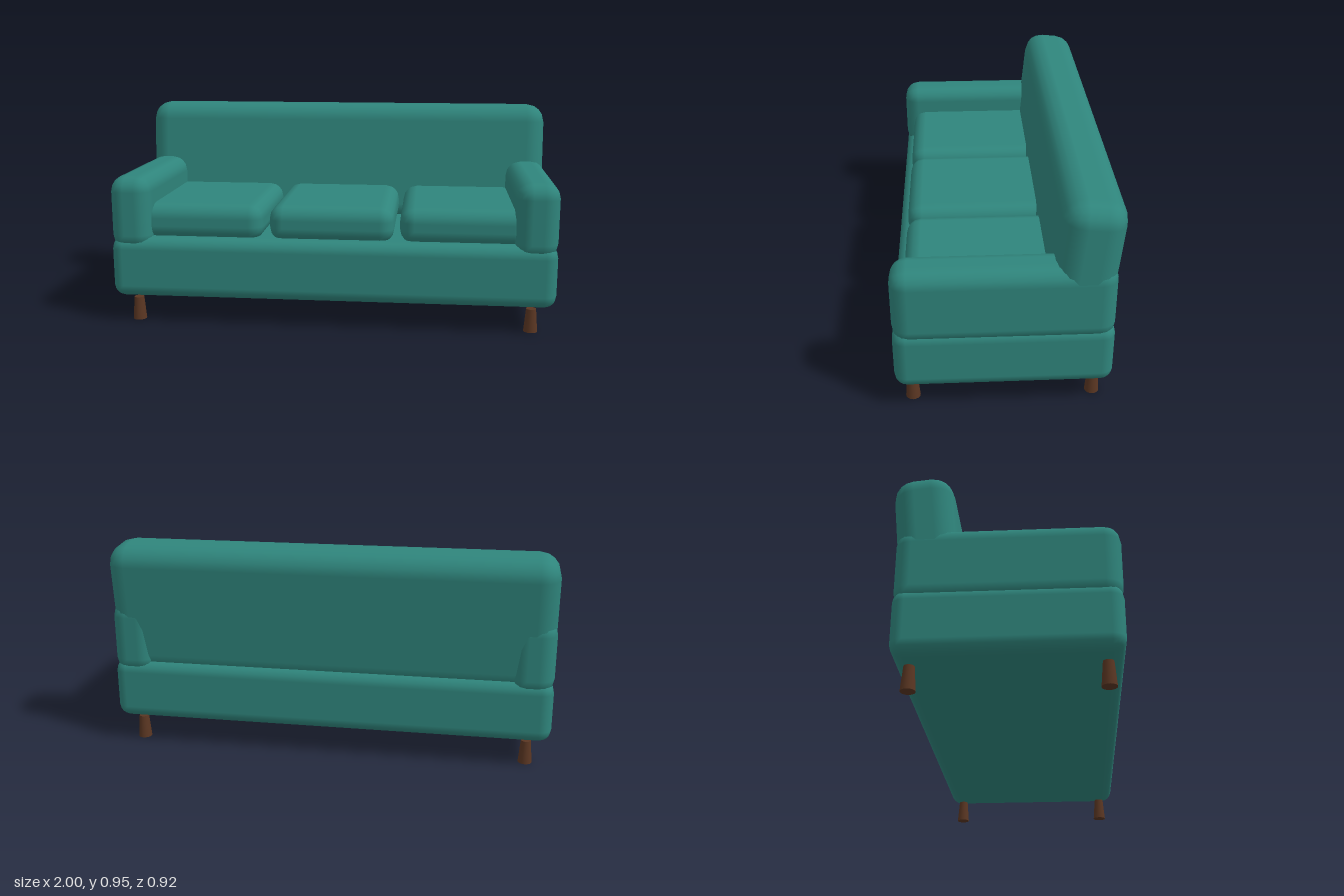
import * as THREE from 'three';
import { RoundedBoxGeometry } from 'three/addons/geometries/RoundedBoxGeometry.js';

export function createModel() {
  const sofa = new THREE.Group();
  sofa.name = 'sofa';
  const fabric = new THREE.MeshStandardMaterial({ color: 0x2f857c });
  fabric.name = 'teal fabric';
  const wood = new THREE.MeshStandardMaterial({ color: 0x5a3622 });
  wood.name = 'dark wood';

  function add(name, geometry, material, x, y, z) {
    const mesh = new THREE.Mesh(geometry, material);
    mesh.name = name;
    mesh.position.set(x, y, z);
    sofa.add(mesh);
    return mesh;
  }
  const padded = (w, h, d, r) => new RoundedBoxGeometry(w, h, d, 2, r);

  // Seat base
  add('base', padded(2, 0.28, 0.902, 0.055), fabric, 0, 0.258, 0.01);

  // Backrest, leaning slightly backwards
  const back = add('backrest', padded(1.996, 0.6, 0.252, 0.09), fabric, 0, 0.647, -0.317);
  back.rotation.x = -0.1;

  // Three seat cushions
  for (const i of [-1, 0, 1]) {
    add('seatCushion', padded(0.565, 0.165, 0.66, 0.065), fabric, i * 0.59, 0.463, 0.085);
  }

  // Armrests and tapered legs, mirrored
  for (const side of [-1, 1]) {
    const label = side > 0 ? 'left' : 'right';
    add(label + 'Armrest', padded(0.19, 0.338, 0.902, 0.07), fabric, side * 0.905, 0.505, 0.01);
    for (const [end, z] of [['Front', 0.391], ['Back', -0.369]]) {
      add(label + end + 'Leg', new THREE.CylinderGeometry(0.022, 0.031, 0.105, 16),
        wood, side * 0.895, 0.0525, z);
    }
  }
  return sofa;
}
